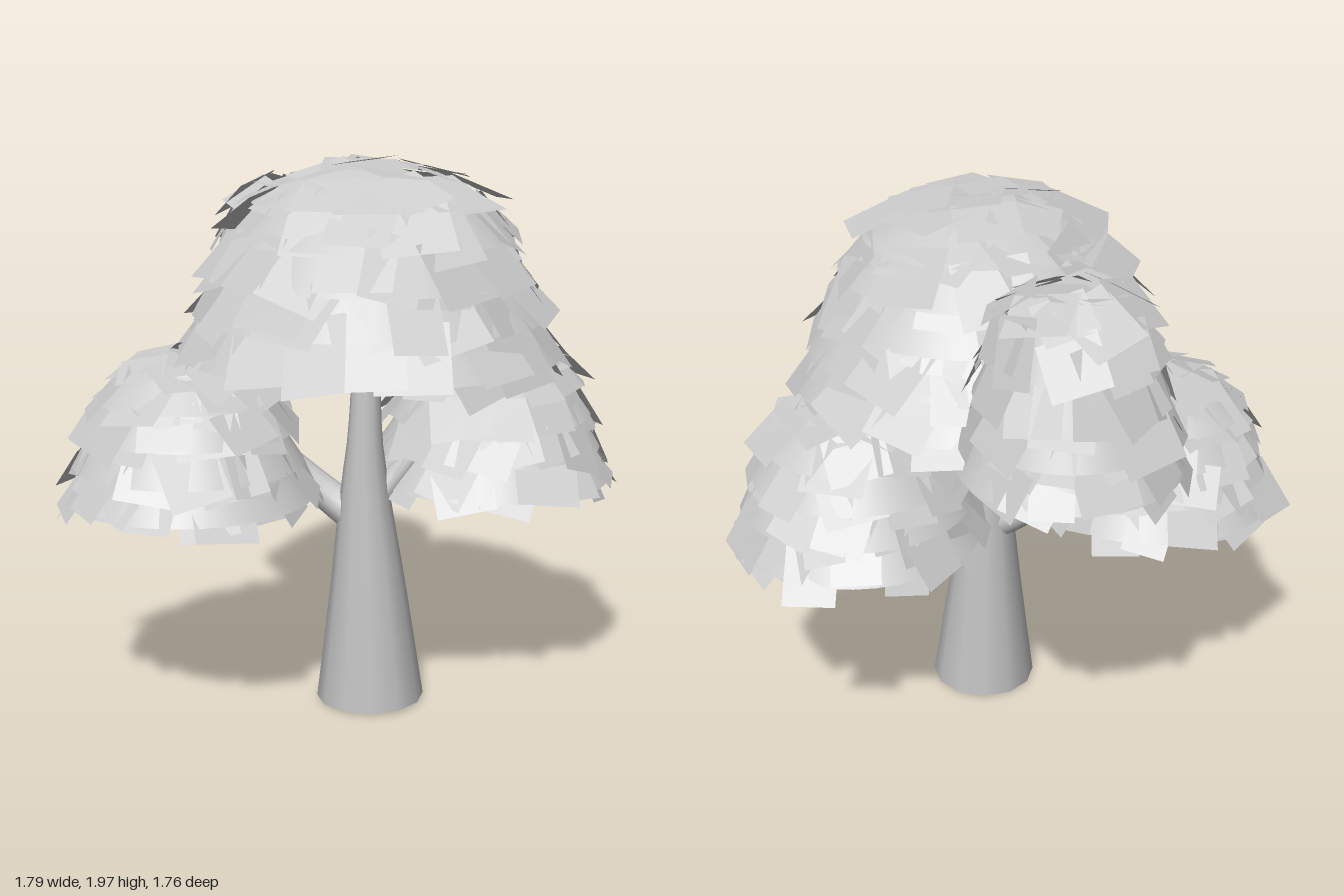
import * as THREE from 'three';
import { mergeGeometries } from 'three/addons/utils/BufferGeometryUtils.js';

const material = new THREE.MeshStandardMaterial({ color: 0xcccccc, side: THREE.DoubleSide });

// Small seeded generator
let seed = 7;
function random() {
  seed = (seed * 16807) % 2147483647;
  return seed / 2147483647;
}
const jitter = (amount) => (random() * 2 - 1) * amount;

function addMesh(parent, name, geometry) {
  const mesh = new THREE.Mesh(geometry, material);
  mesh.name = name;
  parent.add(mesh);
  return mesh;
}

// Round limb whose radius changes along a curved path
function limb(points, radiusAt) {
  const path = new THREE.CatmullRomCurve3(points.map((p) => new THREE.Vector3(...p)));
  const geometry = new THREE.TubeGeometry(path, 14, 1, 12);
  const { position, normal, uv } = geometry.attributes;
  for (let i = 0; i < position.count; i++) {
    const shift = radiusAt(uv.getX(i)) - 1;
    position.setXYZ(i,
      position.getX(i) + normal.getX(i) * shift,
      position.getY(i) + normal.getY(i) * shift,
      position.getZ(i) + normal.getZ(i) * shift);
  }
  return geometry;
}

// One flat leaf on a ring: p is the ring's profile point, d its outward-flared direction
function leaf(p, d, angle, size, loose) {
  const c = Math.cos(angle), s = Math.sin(angle);
  const side = new THREE.Vector3(-s, 0, c);
  const down = new THREE.Vector3(d.x * c, d.y, d.x * s);
  const out = new THREE.Vector3().crossVectors(side, down);
  const geometry = new THREE.PlaneGeometry(size * (1 + jitter(0.25)), size * (1 + jitter(0.2)));
  geometry.rotateZ(jitter(loose));
  geometry.rotateY(jitter(0.15));
  geometry.rotateX(jitter(0.14));
  const r = p.x + jitter(0.015);
  return geometry.applyMatrix4(new THREE.Matrix4()
    .makeBasis(side, down, out)
    .setPosition(r * c, p.y + jitter(0.2) * -d.y * size, r * s));
}

// Dome of overlapping leaf rings, each ring backed by a flared skirt
function canopy(name, center, profile, size, rings) {
  const group = new THREE.Group();
  group.name = name;
  group.position.set(center[0], 0, center[1]);
  const curve = new THREE.CatmullRomCurve3(profile.map(([r, y]) => new THREE.Vector3(r, y, 0)));
  const lastU = 1 - (size * 0.45) / curve.getLength();
  const axis = new THREE.Vector3(0, 0, 1);
  const leaves = [];
  const skirts = [];
  for (let i = 0; i < rings; i++) {
    const u = 0.05 + (lastU - 0.05) * (i / (rings - 1));
    const p = curve.getPointAt(u);
    const d = curve.getTangentAt(u).applyAxisAngle(axis, 0.06 + 0.3 * u);
    const count = Math.max(4, Math.round((Math.PI * 2 * p.x) / (size * 0.66)));
    const start = random() * Math.PI * 2;
    for (let k = 0; k < count; k++) {
      const angle = start + ((k + jitter(0.4)) / count) * Math.PI * 2;
      leaves.push(leaf(p, d, angle, size, i < 2 ? 0.8 : 0.32));
    }
    if (i > 1) {
      const ends = [-0.5, 0.36].map((k) => new THREE.Vector2(p.x + d.x * size * k, p.y + d.y * size * k));
      skirts.push(new THREE.LatheGeometry(ends, 36));
    }
  }
  addMesh(group, name + 'Leaves', mergeGeometries(leaves));
  addMesh(group, name + 'Skirts', mergeGeometries(skirts));
  return group;
}

export function createModel() {
  seed = 7;
  const tree = new THREE.Group();
  tree.name = 'tree';

  // Trunk, open at the base
  addMesh(tree, 'trunk', limb(
    [[0.135, 0, 0.03], [0.125, 0.4, 0.03], [0.11, 0.8, 0.03], [0.11, 1.2, 0.025]],
    (u) => Math.max(0.195 - 0.165 * u, 0.11 - 0.06 * u)));
  const cap = addMesh(tree, 'trunkTop', new THREE.CircleGeometry(0.05, 12));
  cap.rotation.x = -Math.PI / 2;
  cap.position.set(0.11, 1.2, 0.025);

  // Side branches reaching into the two low crowns
  addMesh(tree, 'frontBranch', limb(
    [[0.11, 0.66, 0.03], [-0.02, 0.74, 0.05], [-0.15, 0.86, 0.1], [-0.27, 1.02, 0.2]],
    (u) => 0.07 - 0.035 * u));
  addMesh(tree, 'backBranch', limb(
    [[0.11, 0.7, 0.03], [0.18, 0.8, -0.03], [0.26, 0.92, -0.08], [0.32, 1.06, -0.13]],
    (u) => 0.055 - 0.035 * u));

  // Crowns: one large, two low, one high at the back
  const largeProfile = [[0.02, 1.945], [0.22, 1.91], [0.38, 1.81], [0.49, 1.65], [0.575, 1.45], [0.645, 1.25]];
  const lowProfile = [[0.02, 1.28], [0.15, 1.26], [0.26, 1.19], [0.335, 1.06], [0.385, 0.91], [0.43, 0.755]];
  const highProfile = [[0.02, 1.82], [0.14, 1.8], [0.23, 1.72], [0.28, 1.57], [0.32, 1.38], [0.36, 1.19]];
  tree.add(canopy('mainCrown', [0.13, 0.03], largeProfile, 0.23, 7));
  tree.add(canopy('frontLowCrown', [-0.41, 0.375], lowProfile, 0.19, 6));
  tree.add(canopy('backLowCrown', [0.4, -0.4], lowProfile, 0.19, 6));
  tree.add(canopy('backHighCrown', [-0.42, -0.37], highProfile, 0.19, 6));
  return tree;
}
